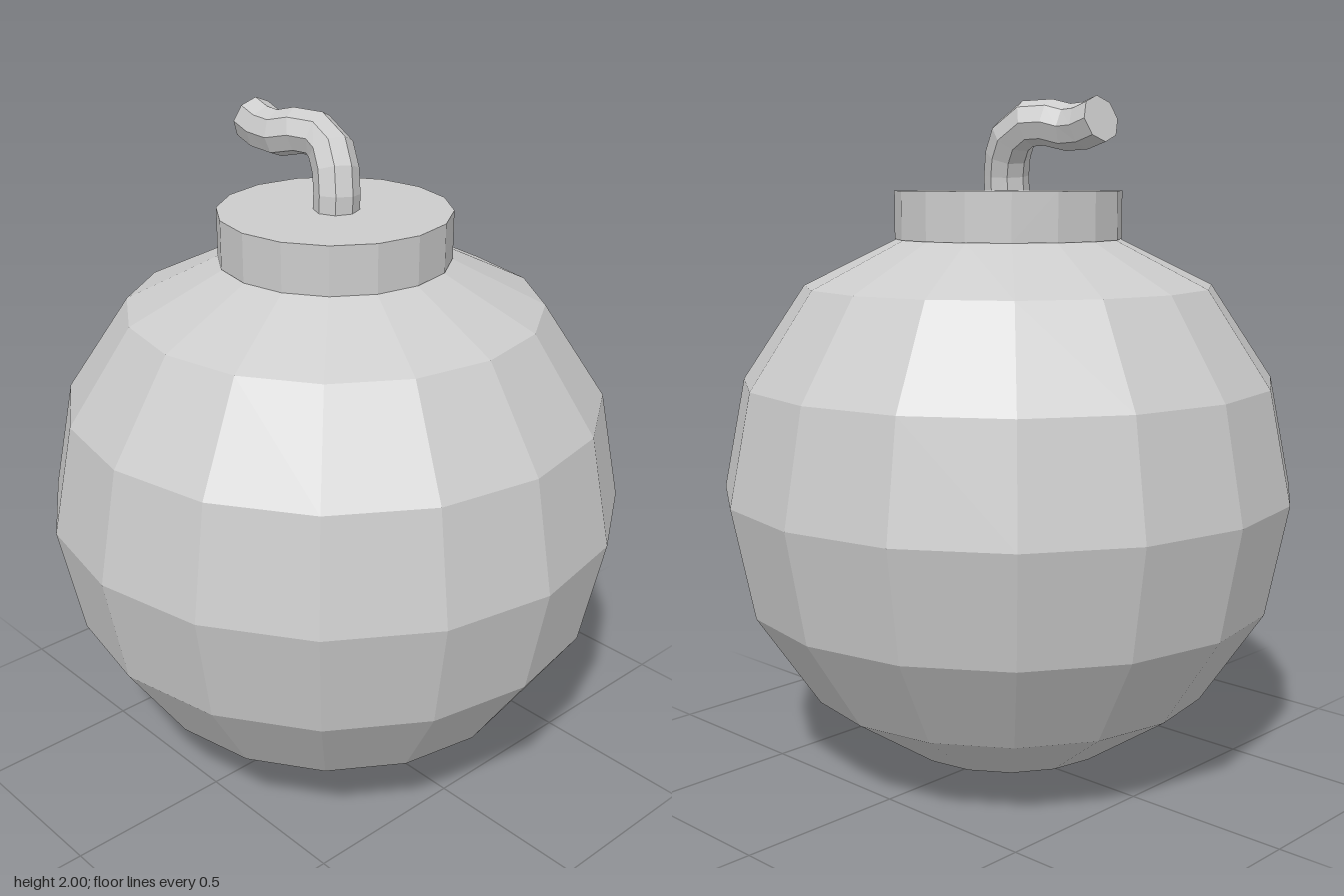
import * as THREE from 'three';

const SIDES = 16;
const material = new THREE.MeshStandardMaterial({ color: 0xcccccc, flatShading: true });

function addPart(group, name, geometry) {
  const mesh = new THREE.Mesh(geometry, material);
  mesh.name = name;
  group.add(mesh);
  return mesh;
}

// Flat disc closing the open end of a tube, sharing its last ring of corners
function tubeEndCap(tube, centre, rings, sides) {
  const pos = tube.attributes.position;
  const corner = (j) => new THREE.Vector3().fromBufferAttribute(pos, rings * (sides + 1) + j);
  const outward = tube.tangents[rings];
  const points = [];
  for (let j = 0; j < sides; j++) {
    const a = corner(j), b = corner(j + 1);
    const normal = a.clone().sub(centre).cross(b.clone().sub(centre));
    points.push(centre, ...(normal.dot(outward) > 0 ? [a, b] : [b, a]));
  }
  const cap = new THREE.BufferGeometry().setFromPoints(points);
  cap.computeVertexNormals();
  return cap;
}

export function createModel() {
  const group = new THREE.Group();
  group.name = 'roundBomb';

  // Faceted ball: sphere rings from the bottom pole up, with a lowered top ring under the collar
  const radius = 0.855, centreY = 0.86;
  const profile = [];
  for (let i = 0; i <= 6; i++) {
    const a = (i * Math.PI) / 8;
    profile.push(new THREE.Vector2(radius * Math.sin(a), centreY - radius * Math.cos(a)));
  }
  profile.push(new THREE.Vector2(0.33, 1.6));
  addPart(group, 'body', new THREE.LatheGeometry(profile, SIDES));

  // Short collar on top
  addPart(group, 'collar', new THREE.CylinderGeometry(0.335, 0.335, 0.14, SIDES)).position.y = 1.67;

  // Bent fuse curling toward the back
  const path = new THREE.CatmullRomCurve3([
    [0, 1.72, 0.005], [0.005, 1.8, 0.003], [0.02, 1.87, -0.025], [0.03, 1.92, -0.075],
    [0.01, 1.934, -0.14], [-0.015, 1.917, -0.22], [-0.015, 1.92, -0.28], [-0.01, 1.938, -0.343],
  ].map((p) => new THREE.Vector3(...p)));
  const rings = 8, sides = 8;
  const fuse = new THREE.TubeGeometry(path, rings, 0.066, sides, false);
  addPart(group, 'fuse', fuse);
  addPart(group, 'fuseTip', tubeEndCap(fuse, path.getPointAt(1), rings, sides));

  return group;
}
